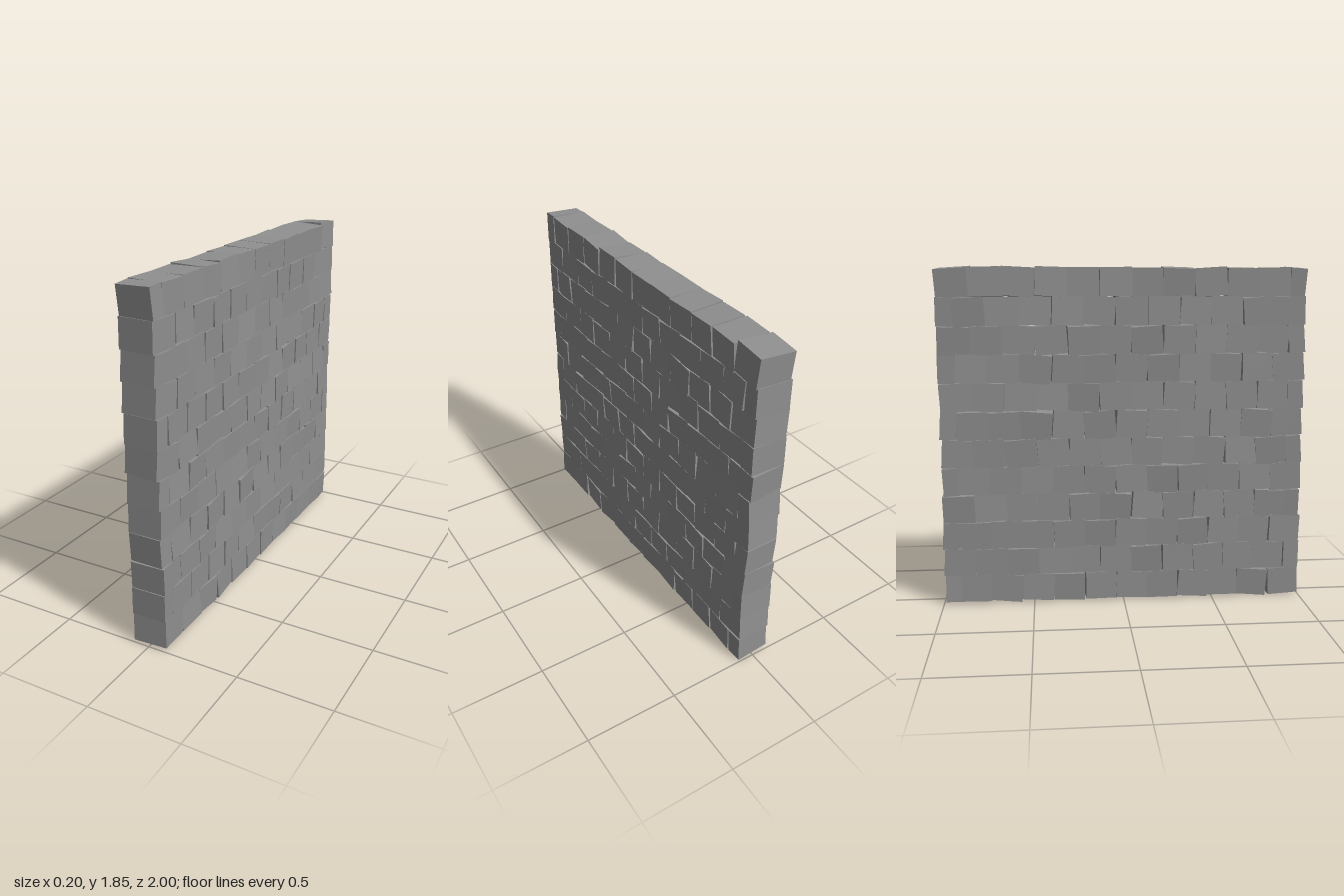
import * as THREE from 'three';

// Small seeded generator, returns -amount..amount
function makeJitter(seed) {
  let s = seed;
  return (amount) => {
    s = (s * 1664525 + 1013904223) % 4294967296;
    return (s / 2147483648 - 1) * amount;
  };
}

export function createModel() {
  const wall = new THREE.Group();
  wall.name = 'brickWall';
  const material = new THREE.MeshStandardMaterial({ color: 0x909090, flatShading: true });
  const jitter = makeJitter(7);

  const rows = 12, perRow = 12;
  const length = 0.172, height = 0.1525, depth = 0.184;
  const bottom = 0.016, end = 0.989;
  const fullBrick = new THREE.BoxGeometry(depth, height, length);
  const halfBrick = new THREE.BoxGeometry(depth, height, length / 2);

  for (let r = 0; r < rows; r++) {
    const course = new THREE.Group();
    course.name = `course${r + 1}`;
    course.position.y = bottom + height * (r + 0.5);
    // The half brick alternates ends to stagger the joints
    const halfIndex = r % 2 ? 0 : perRow - 1;
    let z = end;
    for (let i = 0; i < perRow; i++) {
      const isHalf = i === halfIndex;
      const size = isHalf ? length / 2 : length;
      const brick = new THREE.Mesh(isHalf ? halfBrick : fullBrick, material);
      brick.name = isHalf ? 'halfBrick' : 'brick';
      brick.position.z = z - size / 2;
      // Slight hand-laid tilt, strongest in the plane of the wall
      brick.rotation.set(jitter(0.085), jitter(0.06), jitter(0.06));
      course.add(brick);
      z -= size;
    }
    wall.add(course);
  }
  return wall;
}
